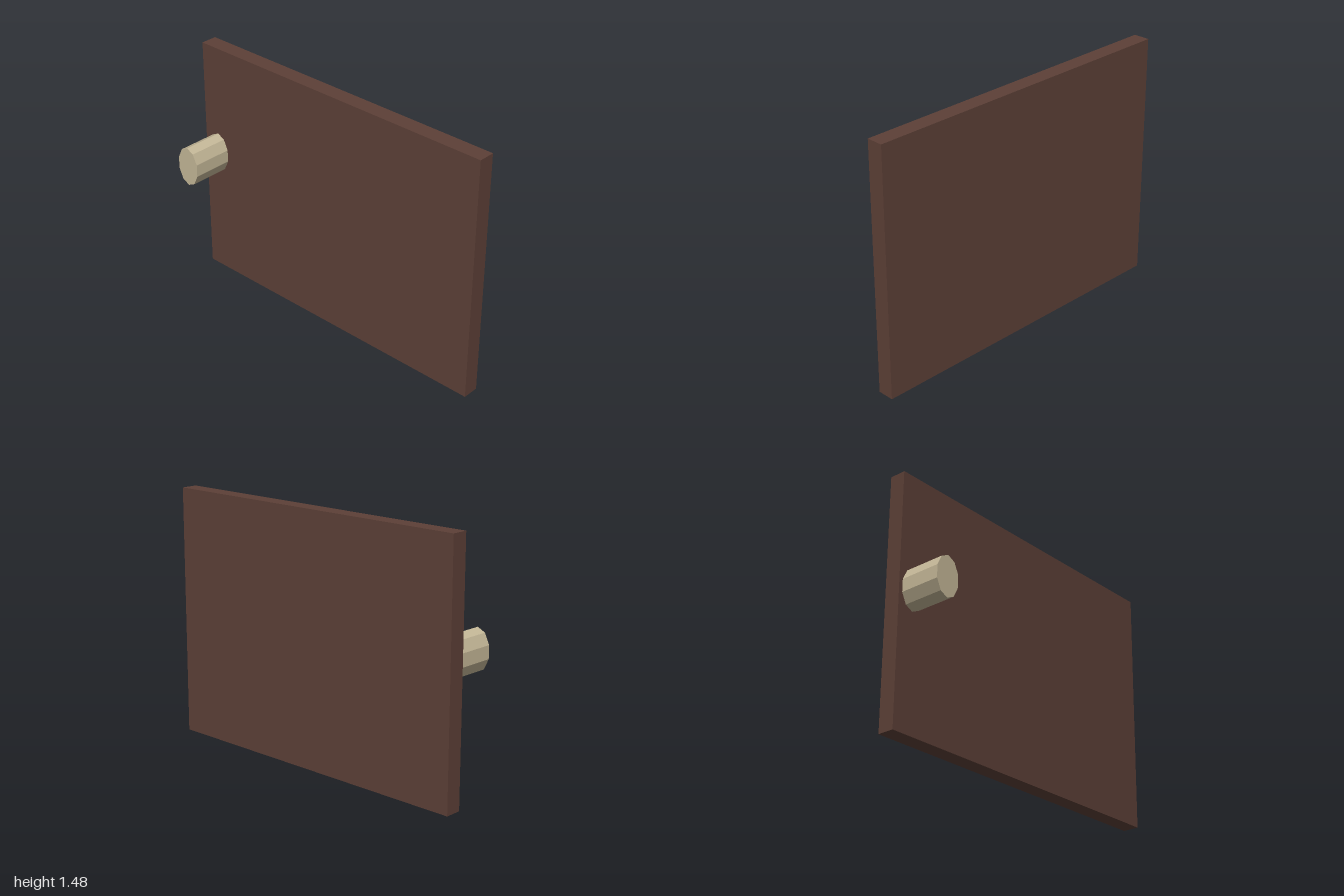
import * as THREE from 'three';

export function createModel() {
  const model = new THREE.Group();
  const darkWood = new THREE.MeshStandardMaterial({ color: 0x5d4037 });
  darkWood.name = 'darkWood';
  const paleKnob = new THREE.MeshStandardMaterial({ color: 0xc4b797, flatShading: true });
  paleKnob.name = 'paleKnob';

  // Upright door panel
  const panel = new THREE.Mesh(new THREE.BoxGeometry(0.098, 1.476, 2), darkWood);
  panel.name = 'doorPanel';
  panel.position.set(0.123, 0.738, 0);
  model.add(panel);

  // Ten-sided oval knob, a corner at top and bottom, lying along x
  const left = -0.172, right = 0.074;
  const knobGeometry = new THREE.CylinderGeometry(1, 1, right - left, 10, 1, false, Math.PI / 2);
  knobGeometry.scale(0.122, 1, 0.08);
  knobGeometry.rotateZ(Math.PI / 2);
  const knob = new THREE.Mesh(knobGeometry, paleKnob);
  knob.name = 'doorKnob';
  knob.position.set((left + right) / 2, 0.801, -0.9);
  model.add(knob);

  return model;
}
